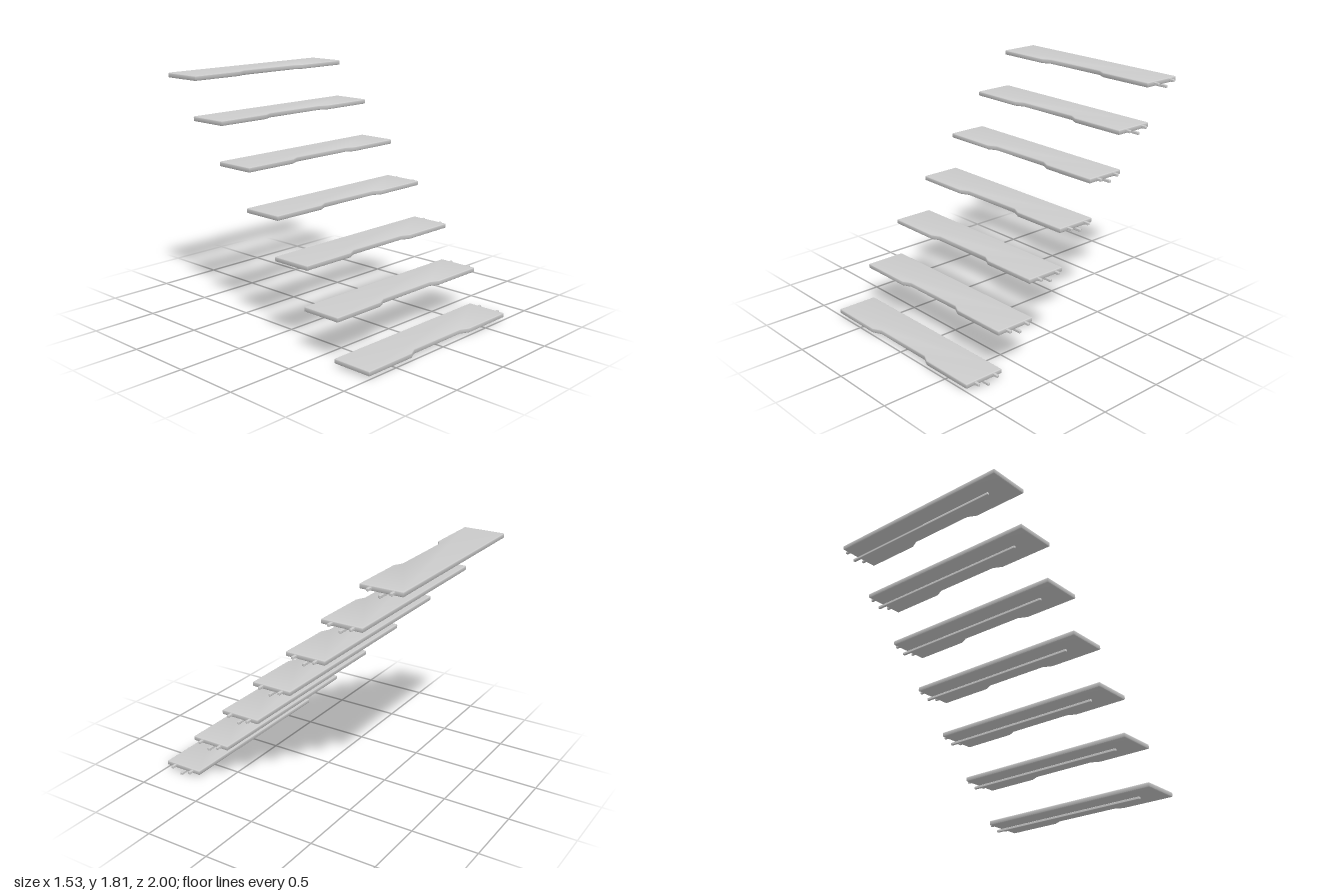
import * as THREE from 'three';
import { toCreasedNormals } from 'three/addons/utils/BufferGeometryUtils.js';
import { RoundedBoxGeometry } from 'three/addons/geometries/RoundedBoxGeometry.js';

const STEPS = 7;
const DEPTH = 0.31, THICK = 0.037, ROD = 0.02;
const LEFT_X = 0.725, RIGHT_X = -0.765, PIN_END = 0.765;
const RISE = 1.75 / (STEPS - 1), RUN = 1.69 / (STEPS - 1);

// Tread board: plan outline with a shallow recess in the front edge, rounded rims
function treadGeometry() {
  const f = -DEPTH / 2, n = f + 0.032;
  const shape = new THREE.Shape([
    [RIGHT_X, f], [-0.34, f], [-0.275, n], [0.235, n], [0.3, f],
    [LEFT_X, f], [LEFT_X, -f], [RIGHT_X, -f],
  ].map(([x, y]) => new THREE.Vector2(x, y)));
  const r = 0.008;
  const geo = new THREE.ExtrudeGeometry(shape, {
    depth: THICK - 2 * r, bevelEnabled: true, bevelThickness: r,
    bevelSize: r, bevelOffset: -r, bevelSegments: 4,
  });
  geo.rotateX(-Math.PI / 2);
  geo.translate(0, ROD + r, 0);
  return toCreasedNormals(geo, Math.PI / 5);
}

// Slim bar along x with softened edges
function barGeometry(x0, x1) {
  const geo = new RoundedBoxGeometry(x1 - x0, ROD, ROD, 2, 0.004);
  geo.translate((x0 + x1) / 2, 0, 0);
  return geo;
}

export function createModel() {
  const model = new THREE.Group();
  model.name = 'floatingStairs';
  const mat = new THREE.MeshStandardMaterial({ color: 0xcccccc });
  const tread = treadGeometry();
  const rod = barGeometry(-0.59, PIN_END);
  const pin = barGeometry(LEFT_X - 0.03, PIN_END);

  const add = (parent, name, geo, y, z) => {
    const mesh = new THREE.Mesh(geo, mat);
    mesh.name = name;
    mesh.position.set(0, y, z);
    parent.add(mesh);
  };

  for (let i = 0; i < STEPS; i++) {
    const step = new THREE.Group();
    step.name = `step${i + 1}`;
    step.position.set(0, i * RISE, 0.845 - i * RUN);
    add(step, 'tread', tread, 0, 0);
    // Support rod under the board and two wall pins in its end
    add(step, 'supportRod', rod, ROD / 2, -0.01);
    add(step, 'backPin', pin, ROD + THICK / 2, -0.088);
    add(step, 'frontPin', pin, ROD + THICK / 2, 0.077);
    model.add(step);
  }
  return model;
}
